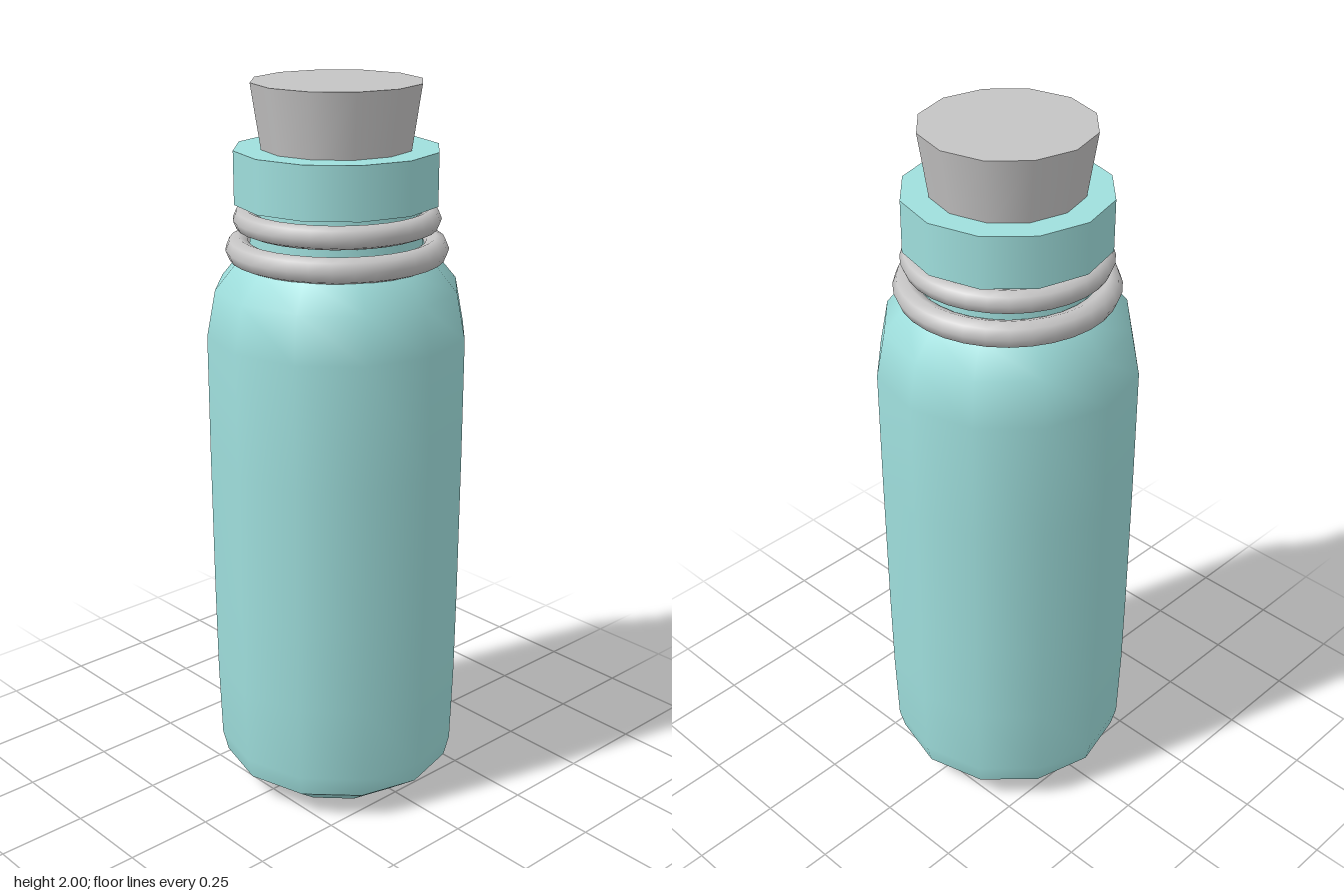
import * as THREE from 'three';

const SIDES = 12;

export function createModel() {
  const model = new THREE.Group();
  model.name = 'corkedBottle';

  const glass = new THREE.MeshStandardMaterial({ color: 0x9fdfdd });
  glass.name = 'paleTealGlass';
  const grey = new THREE.MeshStandardMaterial({ color: 0xc5c4c4 });
  grey.name = 'lightGrey';

  const add = (name, geometry, material, parent = model) => {
    const mesh = new THREE.Mesh(geometry, material);
    mesh.name = name;
    parent.add(mesh);
    return mesh;
  };

  // Turned section: smooth within itself, sharp where it meets the next one
  const turned = (name, profile, material, parent) =>
    add(name, new THREE.LatheGeometry(profile.map(([r, y]) => new THREE.Vector2(r, y)), SIDES), material, parent);

  // Bottle, from the base upwards
  const bottle = new THREE.Group();
  bottle.name = 'bottle';
  model.add(bottle);
  turned('base', [[0, 0], [0.225, 0]], glass, bottle);
  turned('baseBevel', [[0.225, 0], [0.327, 0.075]], glass, bottle);
  turned('body', [
    [0.327, 0.075], [0.342, 0.135], [0.349, 0.35], [0.352, 0.6], [0.354, 1.0],
    [0.354, 1.34], [0.33, 1.465], [0.268, 1.54], [0.235, 1.58],
  ], glass, bottle);
  turned('neck', [[0.235, 1.58], [0.23, 1.69]], glass, bottle);

  // Collar around the mouth
  const collar = new THREE.Group();
  collar.name = 'collar';
  bottle.add(collar);
  turned('collarUnderside', [[0.22, 1.69], [0.274, 1.69]], glass, collar);
  turned('collarWall', [[0.274, 1.69], [0.274, 1.83]], glass, collar);
  turned('collarTop', [[0.274, 1.83], [0.19, 1.83]], glass, collar);

  // Tapered stopper
  add('stopper', new THREE.CylinderGeometry(0.227, 0.198, 0.19, SIDES), grey).position.y = 1.905;

  // Two cord rings around the neck
  for (const [name, radius, tube, y] of [
    ['lowerRing', 0.262, 0.035, 1.565],
    ['upperRing', 0.245, 0.031, 1.645],
  ]) {
    const ring = add(name, new THREE.TorusGeometry(radius, tube, 8, 32), grey);
    ring.rotation.x = -Math.PI / 2;
    ring.position.y = y;
  }

  return model;
}
